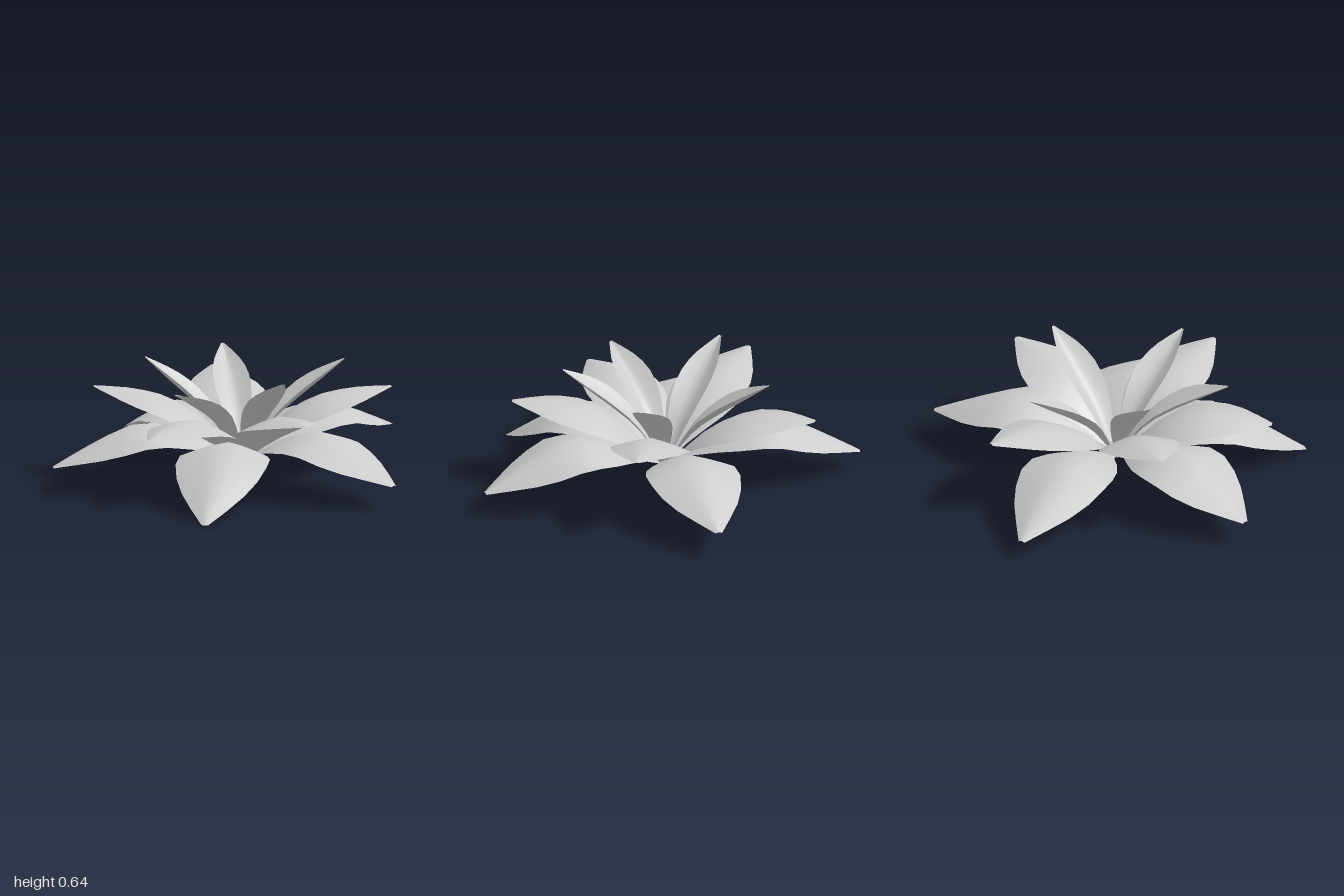
import * as THREE from 'three';

const material = new THREE.MeshStandardMaterial({ color: 0xcccccc, side: THREE.DoubleSide });
const CENTRE = new THREE.Vector3(-0.015, 0.12, 0.06);

// Each ring: half width, edge lift (negative arches the blade), how slowly the blade widens,
// midrib heights at even steps before the tip, and the leaf tips
const RINGS = [
  {
    name: 'outerLeaf', half: 0.24, lift: -0.08, taper: 1.2, rib: [0.12, 0.27, 0.345, 0.265],
    tips: [[0.12, 0.155, -0.94], [1, 0.13, 0.04], [0.49, 0, 0.93], [-0.57, 0.14, 0.9], [-1, 0.1, -0.17]],
  },
  {
    name: 'middleLeaf', half: 0.205, lift: -0.06, taper: 1.1, rib: [0.12, 0.315, 0.425, 0.46],
    tips: [[0.43, 0.46, -0.59], [0.7, 0.455, 0.385], [0.06, 0.37, 0.87], [-0.66, 0.48, 0.475], [-0.64, 0.435, -0.43]],
  },
  {
    name: 'innerLeaf', half: 0.095, lift: 0.06, taper: 0.8, rib: [0.12, 0.3, 0.415, 0.515],
    tips: [[0.31, 0.62, -0.365], [0.46, 0.62, 0.285], [0.04, 0.56, 0.64], [-0.44, 0.635, 0.33], [-0.445, 0.6, -0.28]],
  },
];

// Midrib: smooth curve from the crown out to the tip
function midrib(ring, [x, y, z]) {
  const tip = new THREE.Vector3(x, y, z);
  const base = CENTRE.clone().lerp(tip, 0.03);
  const droop = y - ring.tips[0][1];
  const points = ring.rib.map((height, i) => {
    const t = i / ring.rib.length;
    return base.clone().lerp(tip, t).setY(height + droop * t * t);
  });
  return new THREE.CatmullRomCurve3([...points, tip], false, 'catmullrom');
}

// Blade: bent cross-sections lofted along the midrib
function leafBlade(ring, rib) {
  const ROWS = 9, COLS = 6;
  const along = rib.getPoint(1).sub(rib.getPoint(0));
  const side = new THREE.Vector3(along.z, 0, -along.x).normalize();
  const positions = [], indices = [];
  for (let r = 0; r <= ROWS; r++) {
    const t = r / ROWS;
    const power = t < 0.5 ? ring.taper : 0.9;
    const w = Math.max(0.07, Math.max(0, Math.sin(Math.PI * t)) ** power);
    for (let c = 0; c <= COLS; c++) {
      const s = (c / COLS) * 2 - 1;
      const p = rib.getPoint(t).addScaledVector(side, s * w * ring.half);
      p.y = Math.max(0, p.y + ring.lift * w * Math.abs(s) ** 1.3);
      positions.push(p.x, p.y, p.z);
      if (r && c) {
        const d = r * (COLS + 1) + c, b = d - COLS - 1;
        indices.push(b - 1, d - 1, b, b, d - 1, d);
      }
    }
  }
  const geometry = new THREE.BufferGeometry();
  geometry.setAttribute('position', new THREE.Float32BufferAttribute(positions, 3));
  geometry.setIndex(indices);
  geometry.computeVertexNormals();
  return geometry;
}

// Stalk: thin tube along the start of the midrib
function leafStalk(rib) {
  const path = new THREE.CatmullRomCurve3([0, 0.03, 0.06].map((t) => rib.getPoint(t)));
  return new THREE.TubeGeometry(path, 3, 0.007, 5);
}

function addPart(parent, name, geometry) {
  const mesh = new THREE.Mesh(geometry, material);
  mesh.name = name;
  parent.add(mesh);
  return mesh;
}

export function createModel() {
  const model = new THREE.Group();
  model.name = 'plant';
  for (const ring of RINGS) {
    ring.tips.forEach((tip, i) => {
      const rib = midrib(ring, tip);
      const leaf = new THREE.Group();
      leaf.name = `${ring.name}${i + 1}`;
      addPart(leaf, 'blade', leafBlade(ring, rib));
      addPart(leaf, 'stalk', leafStalk(rib));
      model.add(leaf);
    });
  }
  // Small crown where the stalks meet
  addPart(model, 'crown', new THREE.CylinderGeometry(0.045, 0.035, 0.025, 10)).position.copy(CENTRE);
  return model;
}
